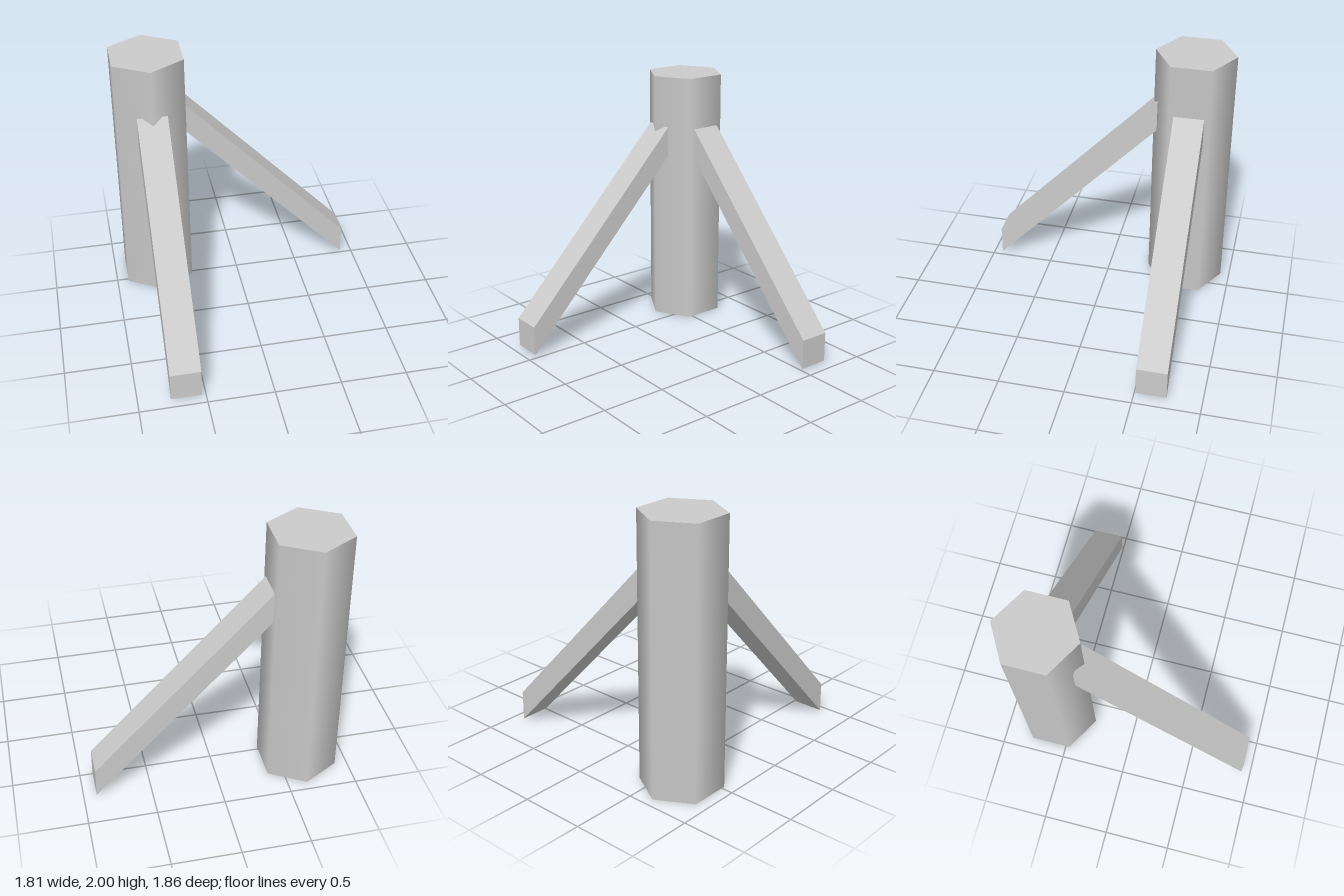
import * as THREE from 'three';

const POST = { x: -0.645, z: -0.625, r: 0.305, h: 2 };

export function createModel() {
  const group = new THREE.Group();
  const material = new THREE.MeshStandardMaterial({ color: 0xcccccc, side: THREE.DoubleSide });

  const add = (name, geometry, x, y, z) => {
    const mesh = new THREE.Mesh(geometry, material);
    mesh.name = name;
    mesh.position.set(x, y, z);
    group.add(mesh);
    return mesh;
  };

  // Hexagonal post: smooth-shaded wall, open underneath, flat cap on top
  add('post', new THREE.CylinderGeometry(POST.r, POST.r, POST.h, 6, 1, true), POST.x, POST.h / 2, POST.z);
  const cap = new THREE.CircleGeometry(POST.r, 6, Math.PI / 2).rotateX(-Math.PI / 2);
  add('postCap', cap, POST.x, POST.h, POST.z);

  // Sloping brace: a parallelogram with plumb-cut ends, running out along +x
  const length = 1.295, width = 0.23;
  const profile = new THREE.Shape([
    new THREE.Vector2(0, 1.375),
    new THREE.Vector2(length, 0.01),
    new THREE.Vector2(length, 0.24),
    new THREE.Vector2(0, 1.605),
  ]);
  const brace = new THREE.ExtrudeGeometry(profile, { depth: width, bevelEnabled: false });
  brace.translate(0, 0, -width / 2);

  add('leftBrace', brace, -0.39, 0, POST.z);
  add('frontBrace', brace, POST.x, 0, -0.365).rotation.y = -Math.PI / 2;

  return group;
}
